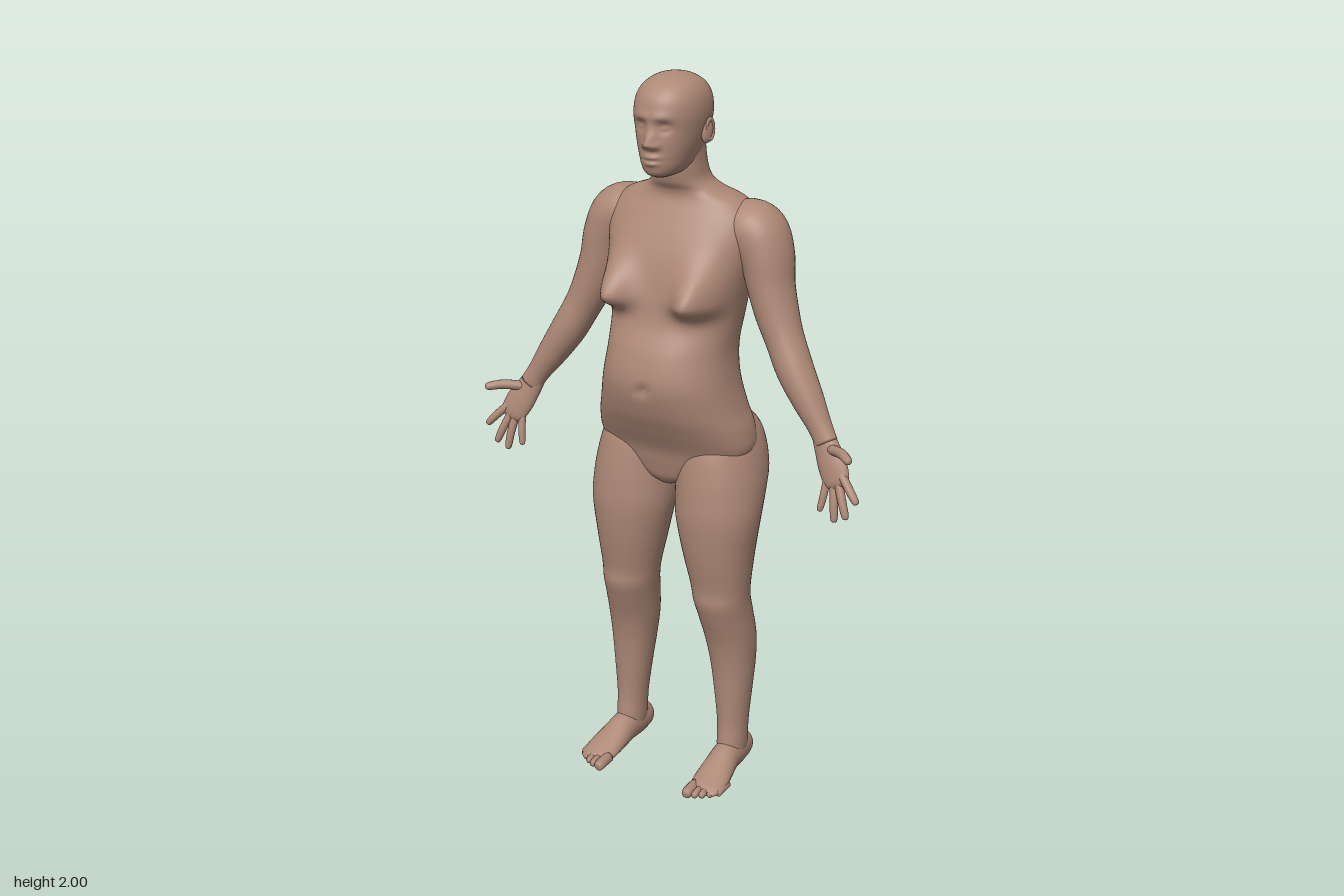
import * as THREE from 'three';

const skin = new THREE.MeshStandardMaterial({ color: 0xad8876 });
skin.name = 'skin';

// Smoothly resample a short table of cross-section rows
function resample(rows, steps) {
  const out = [], n = rows.length - 1;
  const row = (i) => rows[Math.max(0, Math.min(n, i))];
  for (let s = 0; s <= n * steps; s++) {
    const i = Math.min(n - 1, Math.floor(s / steps)), t = s / steps - i;
    const a = row(i - 1), b = row(i), c = row(i + 1), d = row(i + 2);
    out.push(b.map((_, k) => 0.5 * (2 * b[k] + (c[k] - a[k]) * t
      + (2 * a[k] - 5 * b[k] + 4 * c[k] - d[k]) * t * t
      + (3 * b[k] - a[k] - 3 * c[k] + d[k]) * t * t * t)));
  }
  return out;
}

// Skin closed rings, cap both ends and make the faces point outward
function skinRings(rings) {
  const m = rings[0].length, pos = [], idx = [];
  rings.forEach((r) => r.forEach((p) => pos.push(p.x, p.y, p.z)));
  for (let i = 0; i < rings.length - 1; i++) for (let j = 0; j < m; j++) {
    const a = i * m + j, b = i * m + (j + 1) % m;
    idx.push(a, b, a + m, b, b + m, a + m);
  }
  [0, rings.length - 1].forEach((ri) => {
    const c = rings[ri].reduce((v, p) => v.add(p), new THREE.Vector3()).divideScalar(m);
    const k = pos.length / 3;
    pos.push(c.x, c.y, c.z);
    for (let j = 0; j < m; j++) {
      const a = ri * m + j, b = ri * m + (j + 1) % m;
      if (ri) idx.push(a, b, k); else idx.push(b, a, k);
    }
  });
  let vol = 0;
  const P = (i) => new THREE.Vector3().fromArray(pos, idx[i] * 3);
  for (let i = 0; i < idx.length; i += 3) vol += P(i).dot(P(i + 1).cross(P(i + 2)));
  if (vol < 0) idx.reverse();
  const g = new THREE.BufferGeometry();
  g.setAttribute('position', new THREE.Float32BufferAttribute(pos, 3));
  g.setIndex(idx);
  g.computeVertexNormals();
  return g;
}

// Upright loft, rows: y, centre x, half width, front z, back z.
// Bumps: side (1 front, -1 back), x, y, spread x, spread up, spread down, push in z
function uprightLoft(rows, { side = 1, power = 2, segs = 48, steps = 5, bumps = [] } = {}) {
  const pw = (v) => Math.sign(v) * Math.abs(v) ** (2 / power);
  return skinRings(resample(rows, steps).map(([y, cx, hw, zf, zb]) => {
    const ring = [];
    for (let j = 0; j < segs; j++) {
      const a = j / segs * Math.PI * 2, c = pw(Math.cos(a)), s = pw(Math.sin(a));
      const x = cx + hw * c;
      let z = (zf + zb) / 2 + (zf - zb) / 2 * s;
      for (const [face, bx, by, sx, up, down, push] of bumps) {
        const w = Math.min(1, Math.max(0, s * face * 2));
        const dy = (y - by) / (y > by ? up : down), dx = (Math.abs(x) - bx) / sx;
        z += push * w * Math.exp(-dx * dx - dy * dy);
      }
      ring.push(new THREE.Vector3(side * x, y, z));
    }
    return ring;
  }));
}

// Loft along a path, rows: x, y, z, half width, half depth
function pathLoft(rows, side, ref, { segs = 24, steps = 5 } = {}) {
  const pts = resample(rows, steps);
  const V = (p) => new THREE.Vector3(p[0], p[1], p[2]);
  return skinRings(pts.map((p, i) => {
    const t = V(pts[Math.min(i + 1, pts.length - 1)]).sub(V(pts[Math.max(i - 1, 0)])).normalize();
    const u = t.clone().cross(ref).normalize(), v = u.clone().cross(t);
    return Array.from({ length: segs }, (_, j) => {
      const a = j / segs * Math.PI * 2;
      const q = V(p).addScaledVector(u, p[3] * Math.cos(a)).addScaledVector(v, p[4] * Math.sin(a));
      return q.set(q.x * side, Math.max(0, q.y), q.z);
    });
  }));
}

// Rounded finger or toe through three points
function digit(a, b, c, r, side, ref) {
  const mix = (p, q, t) => p.map((v, i) => v + (q[i] - v) * t);
  const e = mix(b, c, 0.85);
  return pathLoft([[...a, r, r], [...b, r, r], [...e, r * 0.8, r * 0.8], [...c, r * 0.15, r * 0.15]],
    side, ref, { segs: 12, steps: 4 });
}

export function createModel() {
  const model = new THREE.Group();
  model.name = 'figure';
  const add = (name, geo) => {
    const mesh = new THREE.Mesh(geo, skin);
    mesh.name = name;
    model.add(mesh);
    return mesh;
  };

  // Torso and neck, with chest, navel, spine and shoulder-blade relief
  add('torso', uprightLoft([
    [0.885, 0, 0.03, 0.05, -0.03], [0.91, 0, 0.1, 0.068, -0.08], [0.95, 0, 0.18, 0.08, -0.11],
    [1.0, 0, 0.225, 0.095, -0.14], [1.06, 0, 0.222, 0.128, -0.155], [1.12, 0, 0.202, 0.158, -0.153],
    [1.2, 0, 0.182, 0.178, -0.148], [1.28, 0, 0.172, 0.163, -0.155], [1.36, 0, 0.178, 0.128, -0.17],
    [1.44, 0, 0.19, 0.112, -0.182], [1.52, 0, 0.205, 0.092, -0.188], [1.58, 0, 0.215, 0.068, -0.182],
    [1.63, 0, 0.208, 0.042, -0.168], [1.67, 0, 0.17, 0.022, -0.15], [1.695, 0, 0.11, 0.022, -0.13],
    [1.72, 0, 0.078, 0.036, -0.115], [1.76, 0, 0.069, 0.045, -0.1], [1.82, 0, 0.066, 0.05, -0.09],
  ], {
    power: 2.3, segs: 80, steps: 7, bumps: [
      [1, 0.122, 1.425, 0.055, 0.085, 0.035, 0.082],
      [1, 0, 1.19, 0.014, 0.014, 0.014, -0.014],
      [-1, 0, 1.4, 0.04, 0.22, 0.25, 0.024],
      [-1, 0.1, 1.53, 0.05, 0.08, 0.08, -0.008],
    ],
  }));

  // Head with brow, eye sockets, nose and lips shaped in
  add('head', uprightLoft([
    [1.742, 0, 0.02, 0.09, 0.02], [1.752, 0, 0.042, 0.112, -0.02], [1.77, 0, 0.058, 0.12, -0.06],
    [1.795, 0, 0.069, 0.121, -0.08], [1.825, 0, 0.079, 0.121, -0.094], [1.86, 0, 0.088, 0.12, -0.108],
    [1.9, 0, 0.093, 0.123, -0.115], [1.94, 0, 0.089, 0.114, -0.108], [1.97, 0, 0.073, 0.09, -0.086],
    [1.99, 0, 0.044, 0.052, -0.05], [1.999, 0, 0.008, 0.01, -0.01],
  ], {
    power: 2.15, segs: 96, steps: 9, bumps: [
      [1, 0, 1.832, 0.015, 0.035, 0.011, 0.026],
      [1, 0.017, 1.828, 0.009, 0.01, 0.008, 0.009],
      [1, 0.034, 1.876, 0.018, 0.013, 0.014, -0.013],
      [1, 0.034, 1.874, 0.011, 0.007, 0.007, 0.007],
      [1, 0.026, 1.901, 0.028, 0.012, 0.009, 0.005],
      [1, 0, 1.799, 0.023, 0.007, 0.006, 0.008],
      [1, 0, 1.783, 0.02, 0.006, 0.007, 0.008],
    ],
  }));

  for (const side of [1, -1]) {
    const label = side > 0 ? 'left' : 'right';
    const Z = new THREE.Vector3(0, 0, 1), Y = new THREE.Vector3(0, 1, 0);

    // Ear: tilted rim with a raised inner fold
    const rim = add(label + 'Ear', new THREE.SphereGeometry(1, 20, 14));
    rim.scale.set(0.011, 0.034, 0.019);
    rim.position.set(side * 0.09, 1.855, -0.008);
    rim.rotation.set(-0.2, side * -0.3, 0);
    const fold = add(label + 'EarFold', new THREE.TorusGeometry(0.016, 0.004, 8, 20));
    fold.scale.set(0.8, 1.6, 1);
    fold.position.set(side * 0.098, 1.858, -0.01);
    fold.rotation.y = side * (Math.PI / 2 - 0.3);

    // Leg from hip to ankle
    add(label + 'Leg', uprightLoft([
      [1.1, 0.11, 0.06, 0.03, -0.12], [1.05, 0.113, 0.095, 0.06, -0.172], [1.0, 0.118, 0.112, 0.082, -0.19],
      [0.93, 0.126, 0.12, 0.096, -0.186], [0.87, 0.13, 0.121, 0.103, -0.157], [0.8, 0.133, 0.117, 0.106, -0.124],
      [0.7, 0.137, 0.1, 0.096, -0.107], [0.6, 0.143, 0.083, 0.078, -0.092], [0.55, 0.146, 0.077, 0.076, -0.096],
      [0.5, 0.15, 0.074, 0.06, -0.108], [0.42, 0.157, 0.071, 0.032, -0.12], [0.34, 0.162, 0.063, 0.016, -0.118],
      [0.25, 0.165, 0.053, 0.009, -0.107], [0.15, 0.167, 0.043, 0.005, -0.096], [0.08, 0.168, 0.041, 0.012, -0.095],
      [0.03, 0.168, 0.036, 0.01, -0.09],
    ], { side, power: 2.1 }));

    // Foot and toes
    add(label + 'Foot', pathLoft([
      [0.167, 0.042, -0.124, 0.012, 0.015], [0.167, 0.044, -0.108, 0.034, 0.038], [0.168, 0.048, -0.06, 0.04, 0.05],
      [0.17, 0.048, 0.0, 0.041, 0.047], [0.174, 0.037, 0.055, 0.047, 0.036], [0.178, 0.027, 0.105, 0.051, 0.025],
      [0.179, 0.02, 0.145, 0.046, 0.016], [0.178, 0.018, 0.158, 0.034, 0.009],
    ], side, Y));
    for (let i = 0; i < 5; i++) {
      const x = 0.145 + i * 0.018 + (i ? 0.005 : 0), r = i ? 0.0105 : 0.016, tip = 0.194 - i * i * 0.0022 - i * 0.003;
      add(label + 'Toe', digit([x, 0.02, tip - 0.06], [x, 0.02, tip - 0.022], [x, 0.016, tip], r, side, Y));
    }

    // Arm from shoulder to wrist
    add(label + 'Arm', pathLoft([
      [0.11, 1.605, -0.078, 0.045, 0.06], [0.165, 1.605, -0.077, 0.068, 0.082], [0.208, 1.585, -0.073, 0.079, 0.086],
      [0.238, 1.53, -0.066, 0.071, 0.08], [0.256, 1.46, -0.056, 0.062, 0.07], [0.28, 1.39, -0.046, 0.057, 0.062],
      [0.31, 1.325, -0.035, 0.051, 0.055], [0.35, 1.25, -0.02, 0.049, 0.052], [0.395, 1.18, -0.008, 0.042, 0.043],
      [0.435, 1.12, 0.003, 0.033, 0.031], [0.46, 1.08, 0.012, 0.032, 0.025],
    ], side, Z, { segs: 36 }));

    // Hand and fingers
    add(label + 'Hand', pathLoft([
      [0.44, 1.11, 0.004, 0.028, 0.024], [0.463, 1.07, 0.015, 0.036, 0.023], [0.486, 1.03, 0.028, 0.042, 0.021],
      [0.505, 0.993, 0.04, 0.038, 0.016], [0.512, 0.978, 0.045, 0.025, 0.008],
    ], side, Z));
    const fingers = [
      [[0.512, 1.02, 0.036], [0.548, 0.984, 0.056], [0.577, 0.952, 0.068]],
      [[0.505, 1.005, 0.036], [0.528, 0.95, 0.055], [0.547, 0.902, 0.066]],
      [[0.494, 1.0, 0.034], [0.505, 0.94, 0.052], [0.512, 0.886, 0.063]],
      [[0.476, 1.005, 0.032], [0.473, 0.952, 0.046], [0.466, 0.905, 0.056]],
    ];
    fingers.forEach(([a, b, c], i) => add(label + 'Finger', digit(a, b, c, i < 3 ? 0.0115 : 0.01, side, Z)));
    add(label + 'Thumb', digit([0.472, 1.07, 0.02], [0.522, 1.078, 0.055], [0.562, 1.075, 0.092], 0.0135, side, Y));
  }
  return model;
}
